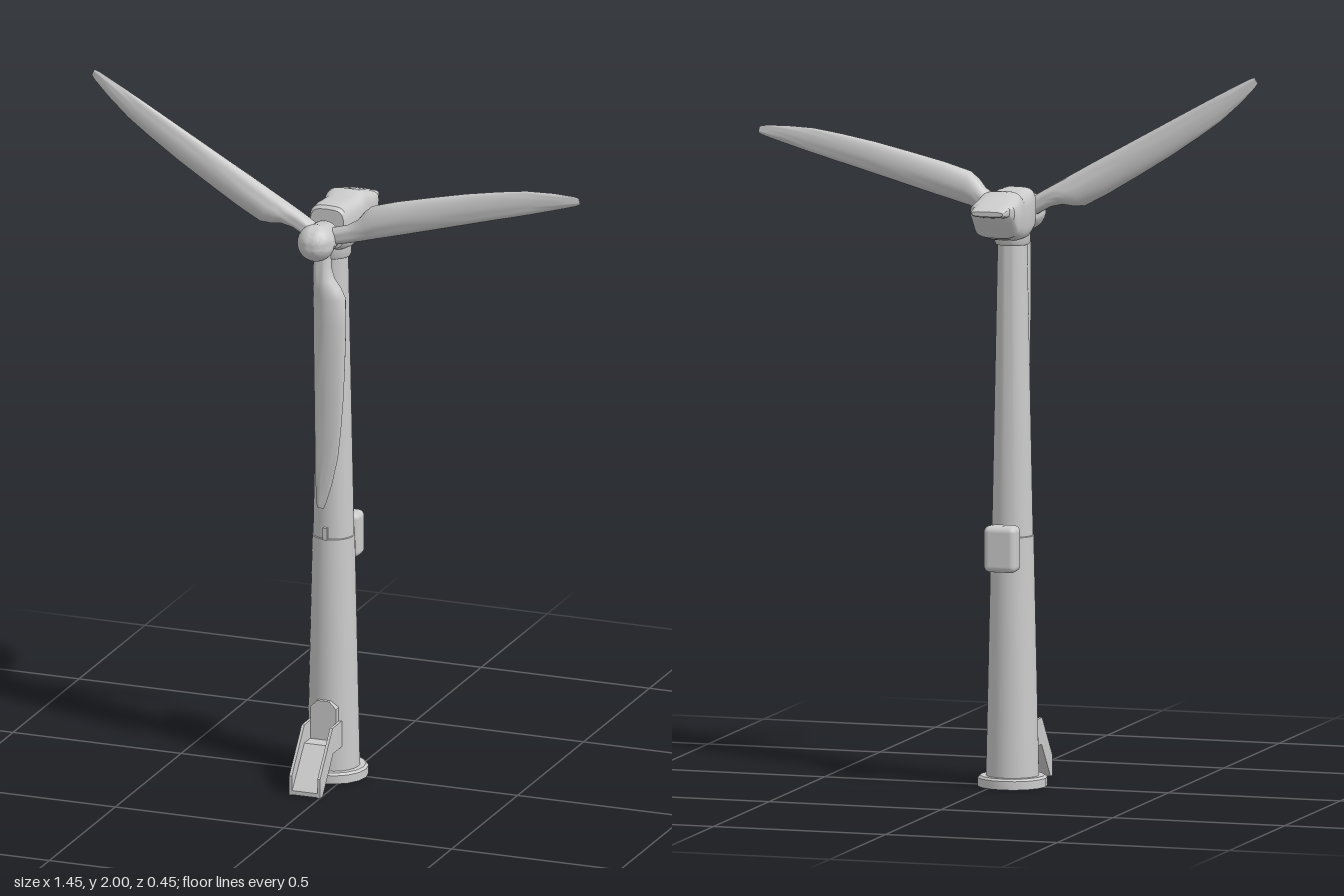
import * as THREE from 'three';
import { RoundedBoxGeometry } from 'three/addons/geometries/RoundedBoxGeometry.js';
import { toCreasedNormals } from 'three/addons/utils/BufferGeometryUtils.js';

const AXIS_X = -0.045; // tower and rotor axis
const AXIS_Z = 0.005;
const material = new THREE.MeshStandardMaterial({ color: 0xcccccc });

function add(parent, name, geometry, x = 0, y = 0, z = 0) {
  const mesh = new THREE.Mesh(geometry, material);
  mesh.name = name;
  mesh.position.set(x, y, z);
  parent.add(mesh);
  return mesh;
}

const lathe = (points, sides) =>
  toCreasedNormals(new THREE.LatheGeometry(points.map(p => new THREE.Vector2(...p)), sides), 0.7);

// Skins equal-length rings of Vector3 and caps both ends; rings run counter-clockwise seen from the last ring.
function loft(rings, crease) {
  const n = rings[0].length, pos = [], index = [];
  const middle = ring => ring.reduce((s, p) => s.add(p), new THREE.Vector3()).divideScalar(n);
  rings.forEach(ring => ring.forEach(p => pos.push(p.x, p.y, p.z)));
  const last = rings.length - 1, first = n * rings.length;
  for (const end of [rings[0], rings[last]]) {
    const m = middle(end);
    pos.push(m.x, m.y, m.z);
  }
  for (let j = 0; j < n; j++) {
    const k = (j + 1) % n;
    for (let i = 0; i < last; i++) {
      const a = i * n + j, b = i * n + k, c = a + n, d = b + n;
      index.push(a, b, d, a, d, c);
    }
    index.push(first, k, j, first + 1, last * n + j, last * n + k);
  }
  const g = new THREE.BufferGeometry();
  g.setAttribute('position', new THREE.Float32BufferAttribute(pos, 3));
  g.setIndex(index);
  return toCreasedNormals(g, crease);
}

// Blade along +y: [distance from hub, trailing edge x, leading edge x, half thickness]
function bladeGeometry() {
  const stations = [
    [0.03, -0.024, 0.024, 0.024], [0.085, -0.025, 0.026, 0.025], [0.12, -0.036, 0.026, 0.028],
    [0.145, -0.055, 0.026, 0.03], [0.172, -0.068, 0.026, 0.03], [0.25, -0.07, 0.026, 0.027],
    [0.36, -0.067, 0.025, 0.022], [0.46, -0.063, 0.024, 0.018], [0.56, -0.055, 0.023, 0.014],
    [0.64, -0.046, 0.022, 0.01], [0.72, -0.028, 0.02, 0.006], [0.775, -0.011, 0.018, 0.003],
    [0.79, -0.004, 0.015, 0.002],
  ];
  const rings = stations.map(([y, x0, x1, t]) => Array.from({ length: 20 }, (_, i) => {
    const a = -i / 20 * Math.PI * 2;
    return new THREE.Vector3((x0 + x1) / 2 + Math.cos(a) * (x1 - x0) / 2, y, Math.sin(a) * t);
  }));
  return loft(rings, 0.9);
}

// Nacelle housing: [z, bottom y, top y, half width], from the rear lip to the front
function nacelleGeometry() {
  const sections = [
    [-0.222, 1.622, 1.635, 0.044], [-0.215, 1.618, 1.64, 0.049], [-0.182, 1.612, 1.65, 0.052],
    [-0.175, 1.598, 1.652, 0.064], [-0.14, 1.55, 1.663, 0.066], [-0.1, 1.54, 1.675, 0.064],
    [-0.085, 1.537, 1.675, 0.063], [-0.065, 1.533, 1.664, 0.062], [0, 1.53, 1.67, 0.06],
    [0.045, 1.542, 1.67, 0.056], [0.055, 1.55, 1.662, 0.05],
  ];
  const soft = v => Math.sign(v) * Math.abs(v) ** 0.55;
  const rings = sections.map(([z, y0, y1, w]) => Array.from({ length: 28 }, (_, i) => {
    const a = i / 28 * Math.PI * 2;
    return new THREE.Vector3(soft(Math.cos(a)) * w, (y0 + y1) / 2 + soft(Math.sin(a)) * (y1 - y0) / 2, z);
  }));
  return loft(rings, 0.6);
}

// Extrudes a side profile of [z, y] points across the width, centred on x = 0
function sideProfile(points, width) {
  const shape = new THREE.Shape(points.map(([z, y]) => new THREE.Vector2(-z, y)));
  const g = new THREE.ExtrudeGeometry(shape, { depth: width, bevelEnabled: false });
  return g.translate(0, 0, -width / 2).rotateY(Math.PI / 2);
}

export function createModel() {
  const model = new THREE.Group();
  model.name = 'windTurbine';

  // Tower with its foot flange, section seam and yaw ring
  add(model, 'footFlange', lathe([[0, 0], [0.097, 0], [0.097, 0.024], [0.09, 0.03], [0, 0.03]], 16), AXIS_X, 0, AXIS_Z);
  add(model, 'tower', lathe([
    [0.074, 0.02], [0.0595, 0.7], [0.0575, 0.702], [0.041, 1.53], [0, 1.53],
  ], 32), AXIS_X, 0, AXIS_Z);
  add(model, 'yawRing', lathe([
    [0, 1.515], [0.046, 1.515], [0.05, 1.522], [0.05, 1.55], [0, 1.55],
  ], 32), AXIS_X, 0, AXIS_Z);

  // Nacelle and shaft
  add(model, 'nacelle', nacelleGeometry(), AXIS_X, 0, 0);
  const shaft = add(model, 'shaft', new THREE.CylinderGeometry(0.035, 0.035, 0.06, 24), AXIS_X, 1.59, 0.06);
  shaft.rotation.x = Math.PI / 2;

  // Rotor: round-nosed hub and three blades
  const rotor = new THREE.Group();
  rotor.name = 'rotor';
  rotor.position.set(AXIS_X, 1.59, 0.09);
  model.add(rotor);
  const nose = Array.from({ length: 11 }, (_, i) => {
    const a = i / 10 * Math.PI / 2;
    return [Math.cos(a) * 0.053, 0.046 + Math.sin(a) * 0.053];
  });
  const hub = add(rotor, 'hub', lathe([[0, -0.03], [0.036, -0.03], [0.044, -0.02], [0.047, 0.02], ...nose], 32));
  hub.rotation.x = Math.PI / 2;
  const blade = bladeGeometry();
  for (const degrees of [-90, 15, 150]) {
    const mesh = add(rotor, 'blade', blade);
    // mirrored lean: the broad edge lies on the counter-clockwise side
    mesh.rotation.z = THREE.MathUtils.degToRad(degrees - 90);
  }

  // Equipment box on the back and small bracket on the front
  add(model, 'equipmentBox', new RoundedBoxGeometry(0.095, 0.13, 0.062, 3, 0.018), AXIS_X, 0.675, -0.089);
  add(model, 'bracket', new THREE.BoxGeometry(0.012, 0.035, 0.03), AXIS_X, 0.718, 0.057);

  // Entrance door with chamfered top corners
  const doorShape = new THREE.Shape([
    [-0.038, 0.1], [0.038, 0.1], [0.038, 0.215], [0.018, 0.235], [-0.018, 0.235], [-0.038, 0.215],
  ].map(p => new THREE.Vector2(...p)));
  add(model, 'door', new THREE.ExtrudeGeometry(doorShape, { depth: 0.05, bevelEnabled: false }), AXIS_X, 0, 0.035);

  // Entrance ramp: landing and slope between two side walls
  const ramp = new THREE.Group();
  ramp.name = 'entranceRamp';
  ramp.position.x = AXIS_X;
  model.add(ramp);
  add(ramp, 'rampFloor', sideProfile([
    [0.05, 0.1], [0.05, 0.122], [0.13, 0.122], [0.222, 0.012], [0.222, 0], [0.205, 0], [0.125, 0.1],
  ], 0.08));
  const wall = sideProfile([
    [0.05, 0.1], [0.05, 0.175], [0.13, 0.175], [0.225, 0.055], [0.225, 0], [0.205, 0], [0.125, 0.1],
  ], 0.008);
  for (const side of [-1, 1]) add(ramp, 'rampWall', wall, side * 0.042);

  return model;
}
